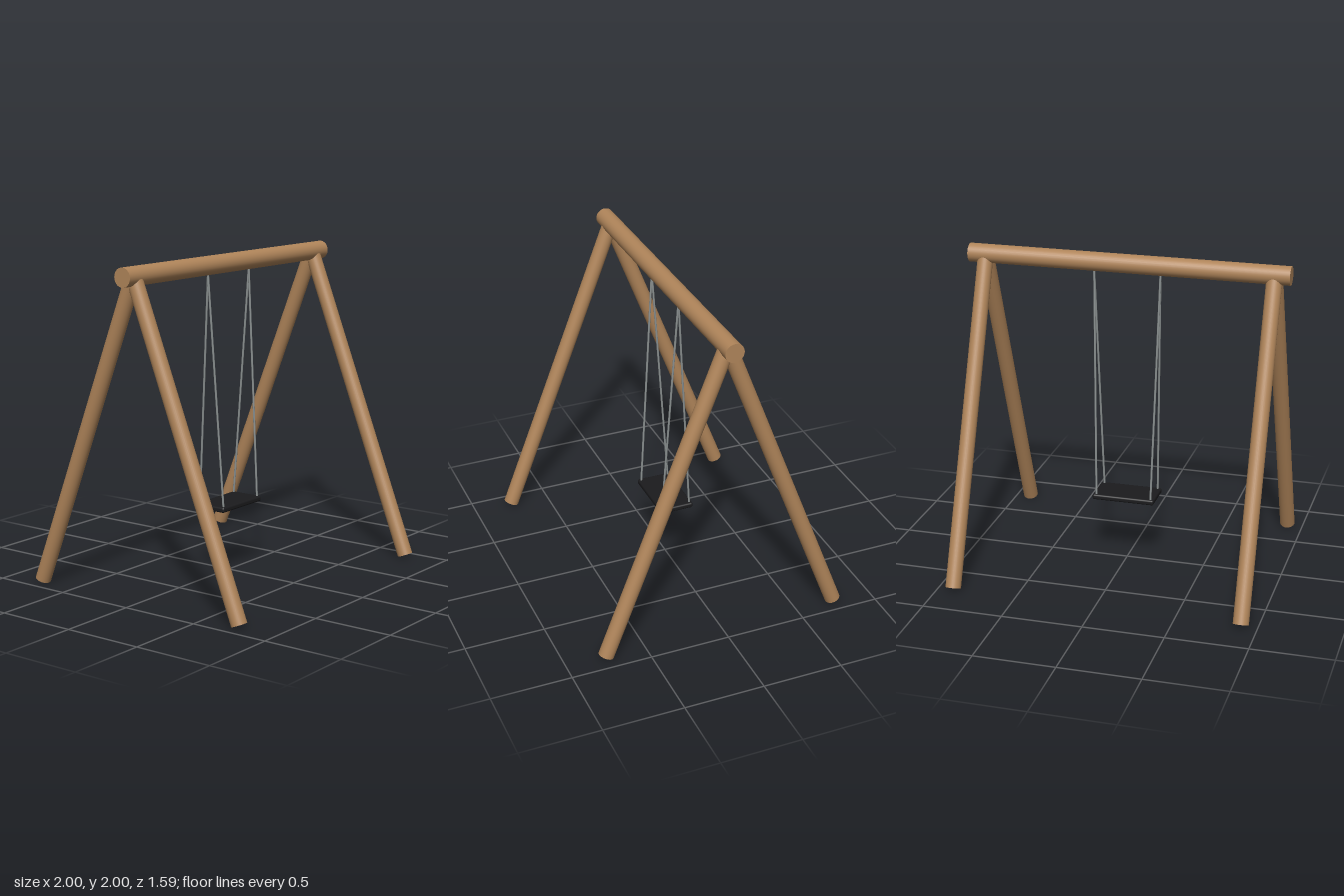
import * as THREE from 'three';
import { RoundedBoxGeometry } from 'three/addons/geometries/RoundedBoxGeometry.js';

const UP = new THREE.Vector3(0, 1, 0);

// Round bar between two points
function bar(from, to, radius, sides, material, name) {
  const dir = to.clone().sub(from);
  const mesh = new THREE.Mesh(new THREE.CylinderGeometry(radius, radius, dir.length(), sides), material);
  mesh.position.copy(from).lerp(to, 0.5);
  mesh.quaternion.setFromUnitVectors(UP, dir.normalize());
  mesh.name = name;
  return mesh;
}

export function createModel() {
  const wood = new THREE.MeshStandardMaterial({ color: 0xb0855a });
  wood.name = 'wood';
  const steel = new THREE.MeshStandardMaterial({ color: 0x8a9090 });
  steel.name = 'steel';
  const rubber = new THREE.MeshStandardMaterial({ color: 0x1b1b1d });
  rubber.name = 'rubber';

  const model = new THREE.Group();
  model.name = 'swingSet';
  const v = (x, y, z) => new THREE.Vector3(x, y, z);
  const beamY = 1.938;

  // Top beam
  model.add(bar(v(-1, beamY, 0), v(1, beamY, 0), 0.058, 32, wood, 'topBeam'));

  // Splayed legs and hanging ropes, mirrored on both axes
  for (const sx of [1, -1]) {
    for (const sz of [1, -1]) {
      const label = (sz > 0 ? 'front' : 'back') + (sx > 0 ? 'Left' : 'Right');
      model.add(bar(v(sx * 0.9, 0.0175, sz * 0.75), v(sx * 0.9, beamY, 0), 0.048, 32, wood, label + 'Leg'));
      model.add(bar(v(sx * 0.175, 0.44, sz * 0.092), v(sx * 0.207, 1.89, 0), 0.0065, 10, steel, label + 'Rope'));
    }
  }

  // Seat
  const seat = new THREE.Mesh(new RoundedBoxGeometry(0.396, 0.034, 0.22, 4, 0.012), rubber);
  seat.position.y = 0.436;
  seat.name = 'seat';
  model.add(seat);

  return model;
}
